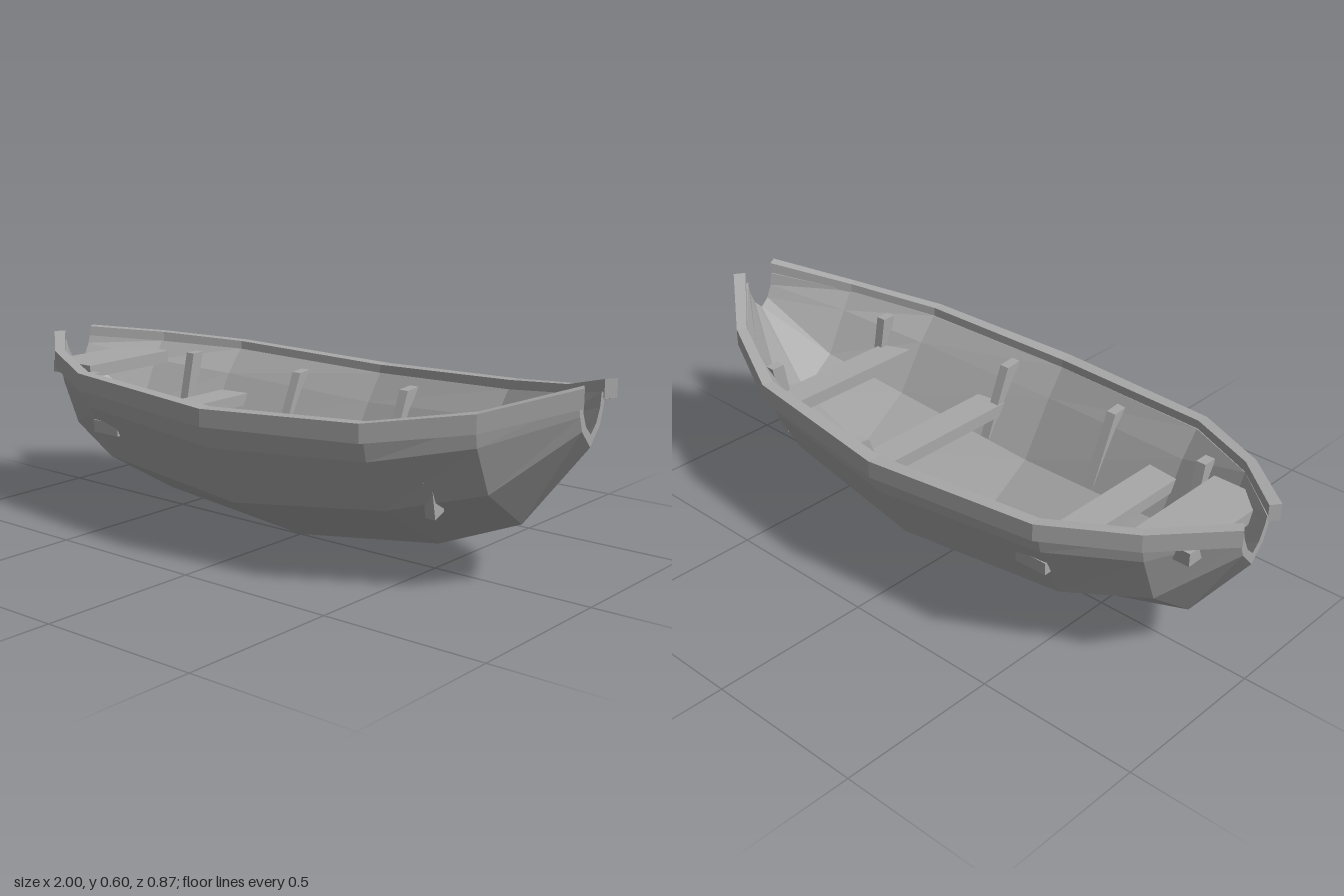
import * as THREE from 'three';

const wood = new THREE.MeshStandardMaterial({ color: 0xa8a8a8, flatShading: true });
wood.name = 'grey wood';

// Faceted solid through rings of [x, y, z], with both ends capped
function loft(name, rings) {
  const pos = [];
  const tri = (a, b, c) => pos.push(...a, ...b, ...c);
  const n = rings[0].length;
  for (let s = 0; s < rings.length - 1; s++) {
    const a = rings[s], b = rings[s + 1];
    for (let k = 0; k < n; k++) {
      const j = (k + 1) % n;
      tri(a[k], b[k], b[j]);
      tri(a[k], b[j], a[j]);
    }
  }
  for (const [ring, side] of [[rings[0], -1], [rings[rings.length - 1], 1]]) {
    const outline = ring.map(p => new THREE.Vector2(p[2], p[1]));
    for (const [i, j, k] of THREE.ShapeUtils.triangulateShape(outline, [])) {
      const a = ring[i], b = ring[j], c = ring[k];
      const nx = (b[1] - a[1]) * (c[2] - a[2]) - (b[2] - a[2]) * (c[1] - a[1]);
      if (nx * side > 0) tri(a, b, c); else tri(a, c, b);
    }
  }
  const geo = new THREE.BufferGeometry();
  geo.setAttribute('position', new THREE.Float32BufferAttribute(pos, 3));
  geo.computeVertexNormals();
  const mesh = new THREE.Mesh(geo, wood);
  mesh.name = name;
  return mesh;
}

// Mirrors rings across the keel, reversing them to keep faces outward
const mirrorZ = rings => rings.map(r => r.map(([x, y, z]) => [x, y, -z]).reverse());

// Stations: x, thickness factor, keel y, then [z, y] of bilge, upper side and top
const stations = [
  [-0.98, 0.25, 0.37, [0.045, 0.42], [0.06, 0.46], [0.072, 0.49]],
  [-0.80, 0.7, 0.13, [0.17, 0.26], [0.225, 0.405], [0.237, 0.47]],
  [-0.55, 1, 0.05, [0.26, 0.205], [0.34, 0.375], [0.36, 0.455]],
  [0, 1, 0, [0.30, 0.167], [0.392, 0.345], [0.412, 0.435]],
  [0.51, 1, 0.075, [0.26, 0.23], [0.34, 0.38], [0.36, 0.46]],
  [0.78, 0.7, 0.185, [0.17, 0.303], [0.23, 0.44], [0.24, 0.505]],
  [0.975, 0.25, 0.43, [0.045, 0.48], [0.058, 0.52], [0.068, 0.565]],
];

function hullRing([x, t, keel, bilge, side, top]) {
  const half = [
    bilge, side, top,
    [top[0] - 0.02, top[1] + 0.005],
    [side[0] - 0.06 * t, side[1] + 0.01],
    [bilge[0] - 0.075 * t, bilge[1] + 0.01],
  ].map(([z, y]) => [x, y, z]);
  const other = half.map(([, y, z]) => [x, y, -z]).reverse();
  return [[x, keel, 0], ...half, [x, keel + 0.035, 0], ...other];
}

// Rail: outer x, outer z, inner x, inner z, bottom y, top y
const railPoints = [
  [-1.0, 0.085, -0.98, 0.056, 0.475, 0.526],
  [-0.81, 0.25, -0.795, 0.222, 0.452, 0.505],
  [-0.555, 0.38, -0.55, 0.345, 0.433, 0.485],
  [0, 0.435, 0, 0.392, 0.414, 0.466],
  [0.515, 0.38, 0.51, 0.345, 0.438, 0.492],
  [0.79, 0.25, 0.775, 0.222, 0.482, 0.535],
  [1.0, 0.085, 0.98, 0.053, 0.55, 0.603],
];
const railRings = railPoints.map(([xo, zo, xi, zi, lo, hi]) =>
  [[xo, lo, zo], [xo, hi, zo], [xi, hi, zi], [xi, lo, zi]]);

// Ribs: x, then [z, y] of top outer, top inner, foot inner, foot outer
const ribs = [
  [-0.66, [0.255, 0.45], [0.21, 0.45], [0.165, 0.25], [0.2, 0.225]],
  [-0.27, [0.35, 0.425], [0.30, 0.42], [0.205, 0.2], [0.25, 0.2]],
  [0.16, [0.355, 0.425], [0.30, 0.42], [0.21, 0.2], [0.25, 0.2]],
  [0.63, [0.26, 0.46], [0.215, 0.46], [0.175, 0.235], [0.215, 0.22]],
];

// Benches: x min, x max, half width, y min, y max
const benches = [
  ['sternSeat', -0.905, -0.73, 0.175, 0.415, 0.455],
  ['aftBench', -0.555, -0.45, 0.325, 0.295, 0.333],
  ['middleBench', 0.14, 0.24, 0.315, 0.265, 0.305],
  ['foreBench', 0.535, 0.63, 0.25, 0.325, 0.365],
];

export function createModel() {
  const boat = new THREE.Group();
  boat.name = 'rowingBoat';

  boat.add(loft('hull', stations.map(hullRing)));

  boat.add(loft('leftRail', railRings));
  boat.add(loft('rightRail', mirrorZ(railRings)));

  for (const [x, ...profile] of ribs) {
    // Ring runs foot outer, top outer, top inner, foot inner
    const [topOut, topIn, footIn, footOut] = profile;
    const rings = [x - 0.016, x + 0.016].map(px =>
      [footOut, topOut, topIn, footIn].map(([z, y]) => [px, y, z]));
    boat.add(loft('rib', rings), loft('rib', mirrorZ(rings)));
  }

  for (const [name, x0, x1, w, y0, y1] of benches) {
    const bench = new THREE.Mesh(new THREE.BoxGeometry(x1 - x0, y1 - y0, 2 * w), wood);
    bench.position.set((x0 + x1) / 2, (y0 + y1) / 2, 0);
    bench.name = name;
    boat.add(bench);
  }
  return boat;
}
